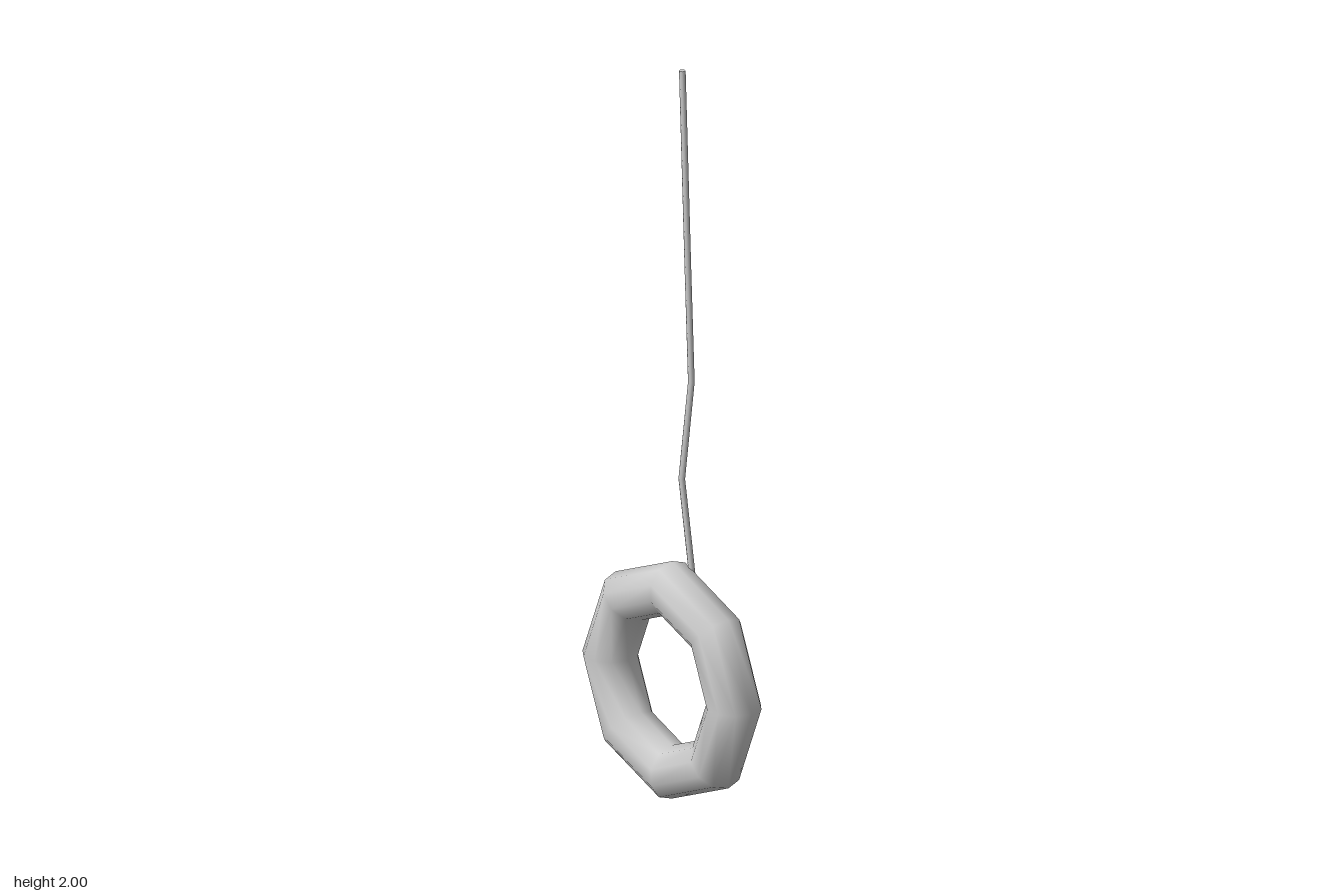
import * as THREE from 'three';

const grey = new THREE.MeshStandardMaterial({ color: 0xcccccc });

// Thin cord: a cylinder whose rows of vertices are shifted onto a bent path
function bentCord(path, radius, sides) {
  const rows = path.length - 1;
  const geometry = new THREE.CylinderGeometry(radius, radius, 1, sides, rows);
  const position = geometry.attributes.position;
  for (let i = 0; i < position.count; i++) {
    const [x, y, z] = path[Math.round((position.getY(i) + 0.5) * rows)];
    position.setXYZ(i, position.getX(i) + x, y, position.getZ(i) + z);
  }
  return geometry;
}

export function createModel() {
  const model = new THREE.Group();
  model.name = 'ringOnCord';

  // Eight-segment ring standing upright
  const ring = new THREE.Mesh(new THREE.TorusGeometry(0.2495, 0.0725, 10, 8), grey);
  ring.name = 'ring';
  ring.position.y = 0.322;
  model.add(ring);

  // Cord, from the back of the ring up to its cut end
  const path = [
    [0.023, 0.605, -0.047],
    [0.011, 0.865, -0.023],
    [0.052, 1.14, -0.021],
    [0.053, 1.45, -0.009],
    [0.07, 2, 0.023],
  ];
  const cord = new THREE.Mesh(bentCord(path, 0.0085, 8), grey);
  cord.name = 'cord';
  model.add(cord);

  return model;
}
